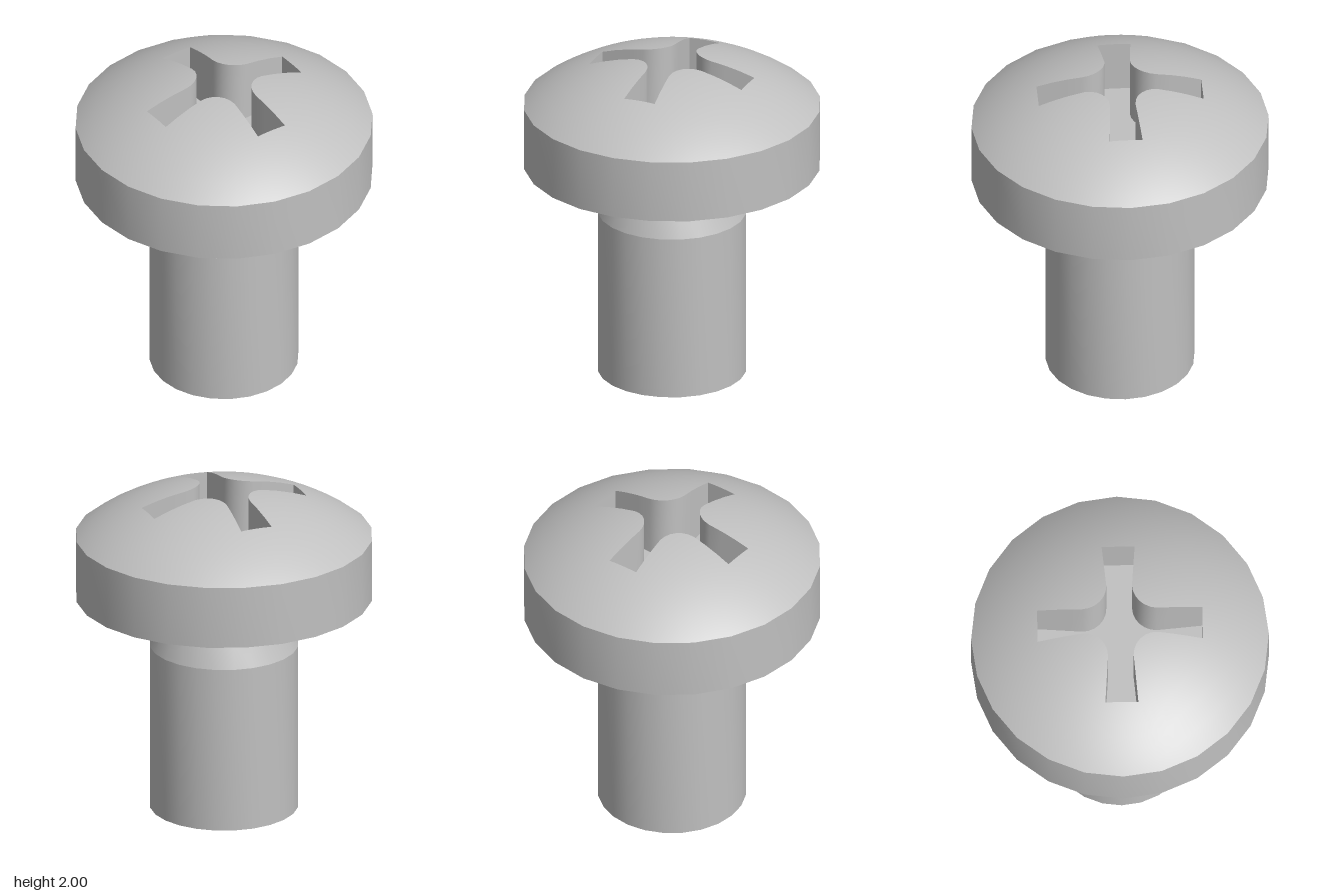
import * as THREE from 'three';
import { toCreasedNormals } from 'three/addons/utils/BufferGeometryUtils.js';

const SIDES = 24, HEAD_R = 0.883, RIM_Y = 1.71, APEX_Y = 2.008, FLOOR_Y = 1.6;
const RISE = APEX_Y - RIM_Y;
const DOME_R = (HEAD_R * HEAD_R + RISE * RISE) / (2 * RISE);
const STEP = 5, COUNT = 360 / STEP; // degrees between loft columns
const domeY = (r) => APEX_Y - DOME_R + Math.sqrt(DOME_R * DOME_R - r * r);
const lerp = THREE.MathUtils.lerp;

// Outline of the cross recess for one quadrant (0..90 degrees), mirrored about 45
function quadrantPoint(deg) {
  if (deg > 45) {
    const [x, z] = quadrantPoint(90 - deg);
    return [z, x];
  }
  if (deg <= 15) return [0.49, 0.098 * deg / 15]; // arm end
  if (deg <= 30) { // tapering arm side
    const t = (deg - 15) / 15;
    return [lerp(0.49, 0.22, t), lerp(0.098, 0.076, t)];
  }
  const a = (deg - 30) * 3 * Math.PI / 180; // rounded inner corner
  return [0.22 - 0.144 * Math.sin(a), 0.22 - 0.144 * Math.cos(a)];
}

function crossPoint(i) {
  const deg = (i % COUNT) * STEP;
  let [x, z] = quadrantPoint(deg % 90);
  for (let q = 0; q < Math.floor(deg / 90); q++) [x, z] = [-z, x];
  return [x, z];
}

// Point on the straight-sided rim polygon
function rimPoint(i) {
  const u = i * STEP / (360 / SIDES), k = Math.floor(u), t = u - k;
  const a = k * 2 * Math.PI / SIDES, b = (k + 1) * 2 * Math.PI / SIDES;
  return [
    HEAD_R * lerp(Math.cos(a), Math.cos(b), t),
    HEAD_R * lerp(Math.sin(a), Math.sin(b), t),
  ];
}

// Surface through closed rows of COUNT + 1 points
function loft(rows, pointAt) {
  const pos = [], index = [], w = COUNT + 1;
  for (let j = 0; j <= rows; j++) {
    for (let i = 0; i <= COUNT; i++) pos.push(...pointAt(i, j / rows));
  }
  for (let j = 0; j < rows; j++) {
    for (let i = 0; i < COUNT; i++) {
      const a = j * w + i, b = a + 1, c = a + w, d = c + 1;
      index.push(a, b, c, b, d, c);
    }
  }
  const g = new THREE.BufferGeometry();
  g.setAttribute('position', new THREE.Float32BufferAttribute(pos, 3));
  g.setIndex(index);
  return g;
}

export function createModel() {
  const group = new THREE.Group();
  const steel = new THREE.MeshStandardMaterial({ color: 0xc0c0c0 });
  steel.name = 'steel grey';
  const add = (name, geometry) => {
    const mesh = new THREE.Mesh(geometry, steel);
    mesh.name = name;
    group.add(mesh);
  };
  const turned = (profile) => toCreasedNormals(
    new THREE.LatheGeometry(profile.map(([r, y]) => new THREE.Vector2(r, y)), SIDES), 0.3);

  // Shank with chamfered shoulder and flared neck
  add('shank', turned([[0, 0], [0.442, 0], [0.442, 1.02], [0.383, 1.175]]));
  add('neck', turned([[0.383, 1.175], [0.52, 1.33]]));

  // Head underside and side wall
  add('headBand', turned([[0.52, 1.33], [HEAD_R, 1.33], [HEAD_R, RIM_Y]]));

  // Domed top running from the rim to the cross recess
  const dome = loft(6, (i, t) => {
    const [ax, az] = rimPoint(i), [bx, bz] = crossPoint(i);
    const x = lerp(ax, bx, t), z = lerp(az, bz, t);
    return [x, t === 0 ? RIM_Y : domeY(Math.hypot(x, z)), z];
  });
  const p = dome.attributes.position, normals = [], n = new THREE.Vector3();
  for (let i = 0; i < p.count; i++) {
    n.fromBufferAttribute(p, i);
    n.y -= APEX_Y - DOME_R;
    normals.push(...n.normalize().toArray());
  }
  dome.setAttribute('normal', new THREE.Float32BufferAttribute(normals, 3));
  // Loft columns run clockwise from above, so flip them to face up
  dome.setIndex(facing(dome, (c, f) => f.y > 0));
  add('headDome', dome);

  // Recess walls, facing into the slot
  const walls = loft(1, (i, t) => {
    const [x, z] = crossPoint(i);
    return [x, t === 0 ? domeY(Math.hypot(x, z)) : FLOOR_Y, z];
  });
  walls.setIndex(facing(walls, (c, f) => c.x * f.x + c.z * f.z < 0, true));
  add('recessWalls', toCreasedNormals(walls, 0.5));

  // Recess floor
  const outline = [];
  for (let i = 0; i < COUNT; i++) {
    const [x, z] = crossPoint(i);
    outline.push(new THREE.Vector2(x, -z));
  }
  const floor = new THREE.ShapeGeometry(new THREE.Shape(outline));
  floor.rotateX(-Math.PI / 2).translate(0, FLOOR_Y, 0);
  add('recessFloor', floor);
  return group;
}

// Index of a loft, reversed as a whole when its first face points the wrong way
function facing(g, isGood) {
  const idx = Array.from(g.index.array), p = g.attributes.position;
  const [a, b, c] = [0, 1, 2].map((k) => new THREE.Vector3().fromBufferAttribute(p, idx[k]));
  const f = new THREE.Triangle(a, b, c).getNormal(new THREE.Vector3());
  if (!isGood(a, f)) {
    for (let i = 0; i < idx.length; i += 3) [idx[i], idx[i + 1]] = [idx[i + 1], idx[i]];
  }
  return idx;
}
